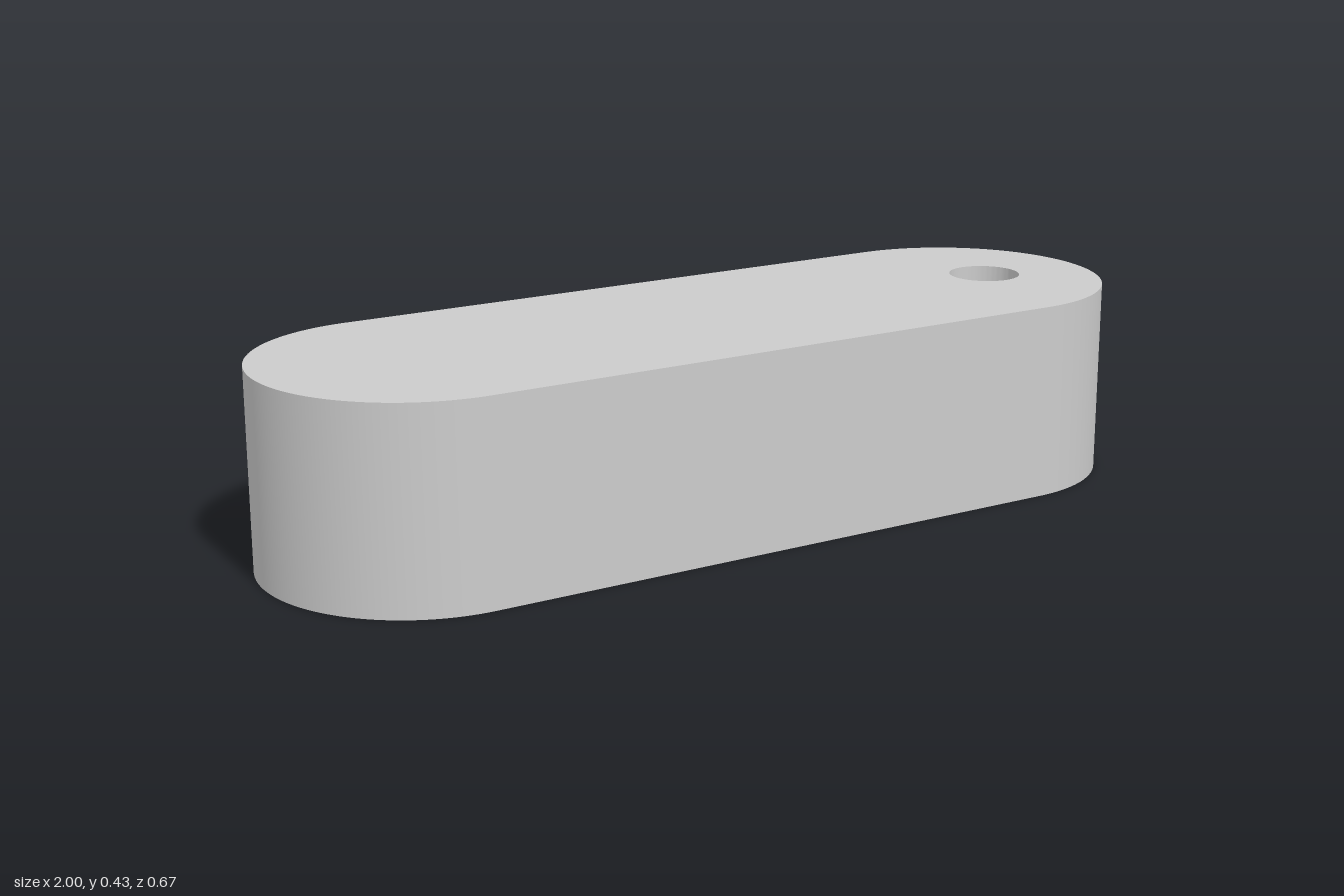
import * as THREE from 'three';
import { toCreasedNormals } from 'three/addons/utils/BufferGeometryUtils.js';

const RADIUS = 0.333;
const HEIGHT = 0.425;
const HOLE_X = 0.757;
const HOLE_RADIUS = 0.079;

export function createModel() {
  const group = new THREE.Group();
  group.name = 'roundEndedBar';

  // Outline: two half circles joined by straight sides
  const centre = 1 - RADIUS;
  const outline = new THREE.Shape();
  outline.absarc(centre, 0, RADIUS, -Math.PI / 2, Math.PI / 2, false);
  outline.absarc(-centre, 0, RADIUS, Math.PI / 2, Math.PI * 1.5, false);
  outline.closePath();

  // Through hole near the left end
  const hole = new THREE.Path();
  hole.absarc(HOLE_X, 0, HOLE_RADIUS, 0, Math.PI * 2, true);
  outline.holes.push(hole);

  // Extrude and lay flat on the ground
  const geometry = new THREE.ExtrudeGeometry(outline, {
    depth: HEIGHT,
    bevelEnabled: false,
    curveSegments: 40,
  });
  geometry.rotateX(-Math.PI / 2);

  const bar = new THREE.Mesh(
    toCreasedNormals(geometry, 0.6),
    new THREE.MeshStandardMaterial({ color: 0xcccccc })
  );
  bar.name = 'bar';
  group.add(bar);
  return group;
}
